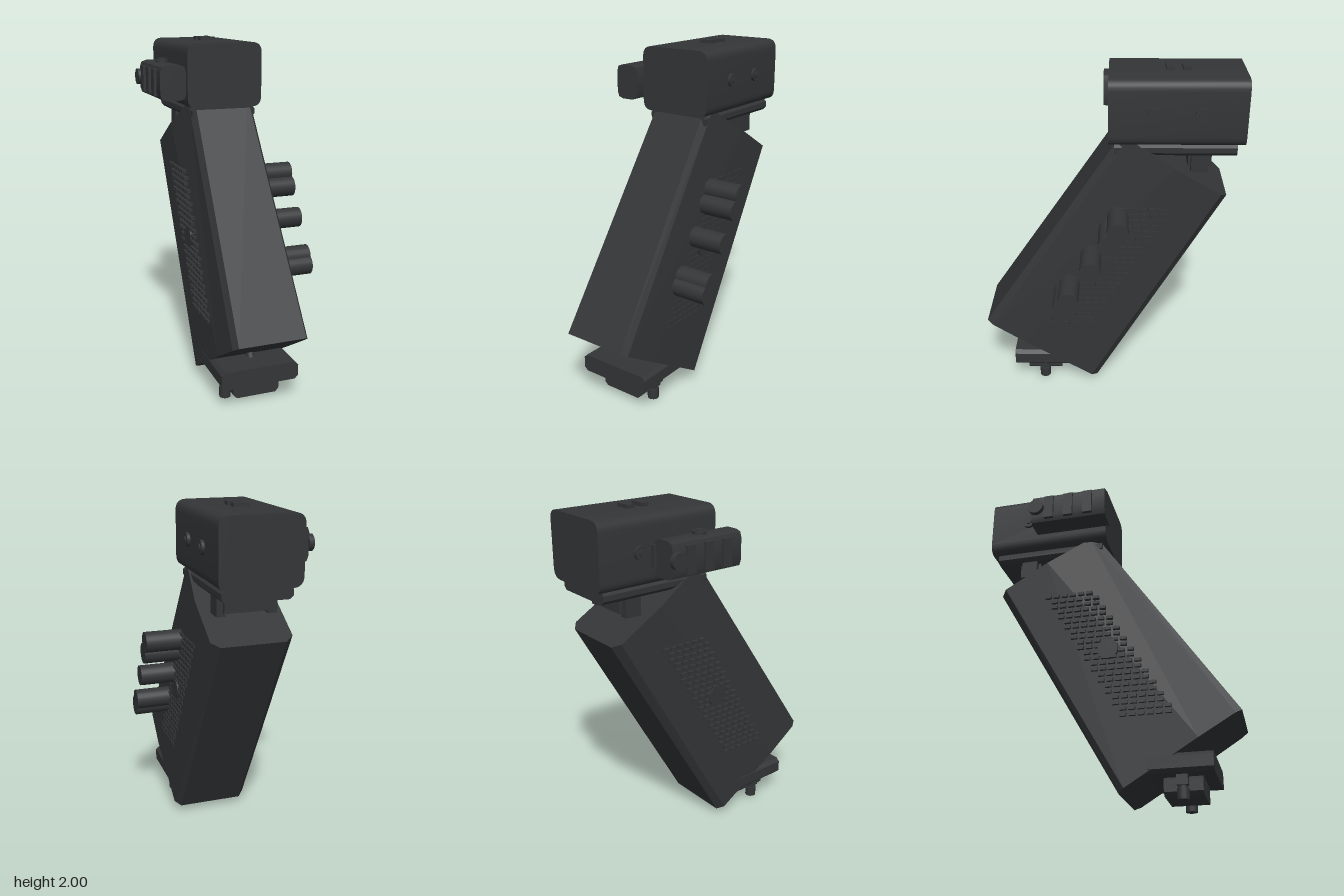
import * as THREE from 'three';
import { mergeGeometries, toCreasedNormals } from 'three/addons/utils/BufferGeometryUtils.js';

const CX = -0.008; // centre of the main housing in x

export function createModel() {
  const model = new THREE.Group();
  const dark = new THREE.MeshStandardMaterial({ color: 0x333537 });
  const faceted = new THREE.MeshStandardMaterial({ color: 0x333537, flatShading: true });

  const add = (name, geometry, material = dark) => {
    const mesh = new THREE.Mesh(geometry, material);
    mesh.name = name;
    model.add(mesh);
    return mesh;
  };
  // Box given by its limits
  const boxGeo = (x0, x1, y0, y1, z0, z1) =>
    new THREE.BoxGeometry(x1 - x0, y1 - y0, z1 - z0)
      .translate((x0 + x1) / 2, (y0 + y1) / 2, (z0 + z1) / 2);
  const box = (name, ...limits) => add(name, boxGeo(...limits));
  // Cylinder along x or y
  const rod = (name, axis, radius, length, x, y, z, sides = 24) => {
    const geo = new THREE.CylinderGeometry(radius, radius, length, sides);
    if (axis === 'x') geo.rotateZ(Math.PI / 2);
    return add(name, geo.translate(x, y, z));
  };
  // Rounded rectangle in xy, run along z; steps = 1 gives a chamfer
  const prism = (name, x0, x1, y0, y1, z0, z1, r, steps = 6) => {
    const s = new THREE.Shape();
    s.moveTo(x0 + r, y0);
    s.lineTo(x1 - r, y0);
    s.quadraticCurveTo(x1, y0, x1, y0 + r);
    s.lineTo(x1, y1 - r);
    s.quadraticCurveTo(x1, y1, x1 - r, y1);
    s.lineTo(x0 + r, y1);
    s.quadraticCurveTo(x0, y1, x0, y1 - r);
    s.lineTo(x0, y0 + r);
    s.quadraticCurveTo(x0, y0, x0 + r, y0);
    const geo = new THREE.ExtrudeGeometry(s, { depth: z1 - z0, bevelEnabled: false, curveSegments: steps });
    return add(name, toCreasedNormals(geo.translate(0, 0, z0), 0.5));
  };

  // Leaning body, lofted between a bottom and a top section
  // profile: [half width, fraction from front to back]
  const sections = [
    { front: [0.74, 0.45], back: [0.07, 0.04],
      profile: [[0.195, 0], [0.218, 0.05], [0.23, 0.35], [0.23, 0.95], [0.195, 1]] },
    { front: [-0.07, 1.66], back: [-0.66, 1.31],
      profile: [[0.165, 0], [0.192, 0.06], [0.226, 0.5], [0.226, 0.94], [0.18, 1]] },
  ];
  const positions = [];
  for (const { front, back, profile } of sections) {
    const ring = [...profile, ...profile.slice().reverse().map(([w, t]) => [-w, t])];
    for (const [x, t] of ring) {
      positions.push(CX + x, front[1] + (back[1] - front[1]) * t, front[0] + (back[0] - front[0]) * t);
    }
  }
  const n = 10;
  const index = [];
  for (let i = 0; i < n; i++) {
    const j = (i + 1) % n;
    index.push(i, j, j + n, i, j + n, i + n);
    if (i > 0 && i < n - 1) index.push(0, i + 1, i, n, n + i, n + i + 1);
  }
  const body = new THREE.BufferGeometry();
  body.setAttribute('position', new THREE.Float32BufferAttribute(positions, 3));
  body.setIndex(index);
  body.computeVertexNormals();
  add('body', body, faceted);

  // Raised grille pads on both sides, following the lean of the body
  for (const [name, x0, x1] of [['leftGrille', 0.2, 0.227], ['rightGrille', -0.253, -0.22]]) {
    const pads = [];
    for (let row = 0; row < 23; row++) {
      const y = 0.46 + row * 0.0352;
      const middle = 0.24 - (row / 22) * 0.45 + (row % 2 ? 0.01 : -0.01);
      for (let col = 0; col < 6; col++) {
        const z = middle + (col - 2.5) * 0.05;
        pads.push(boxGeo(x0, x1, y - 0.009, y + 0.009, z - 0.018, z + 0.018));
      }
    }
    add(name, mergeGeometries(pads));
  }
  rod('leftGrilleHub', 'x', 0.06, 0.04, 0.212, 0.86, 0.02);
  rod('rightGrilleHub', 'x', 0.06, 0.04, -0.234, 0.86, 0.02);

  // Protruding side cylinders
  const posts = [[1.19, -0.055], [1.11, -0.005], [0.94, 0.1], [0.74, 0.228], [0.69, 0.26]];
  for (const [y, z] of posts) rod('sidePost', 'x', 0.06, 0.235, 0.308, y, z);

  // Head with pads on top and screws on the sides
  prism('head', -0.235, 0.215, 1.61, 1.98, -0.74, 0, 0.06);
  for (const z of [-0.42, -0.33]) box('topPad', -0.055, 0.035, 1.97, 2.0, z - 0.022, z + 0.022);
  for (const side of [-1, 1]) {
    for (const z of [-0.245, -0.495]) {
      const face = side > 0 ? 0.215 : -0.235;
      rod('screwWasher', 'x', 0.038, 0.024, face + side * 0.005, 1.795, z);
      rod('screwHead', 'x', 0.02, 0.03, face + side * 0.01, 1.795, z, 6);
    }
  }

  // Mounting plate and clamp below the head
  prism('headPlate', -0.2, 0.185, 1.545, 1.615, -0.7, -0.03, 0.02, 1);
  box('headClamp', -0.14, 0.125, 1.46, 1.55, -0.57, -0.44);
  for (const x of [-0.15, 0.135]) {
    box('headClampJaw', x - 0.025, x + 0.025, 1.44, 1.55, -0.55, -0.455);
  }

  // Side unit carried on the right of the head
  prism('sideUnit', -0.405, -0.255, 1.665, 1.865, -0.42, 0.035, 0.04, 2);
  rod('sideUnitMount', 'x', 0.04, 0.05, -0.245, 1.8, -0.245);
  for (const z of [-0.31, -0.19, -0.07]) {
    box('sideUnitRib', -0.42, -0.39, 1.69, 1.84, z - 0.028, z + 0.028);
  }
  rod('sideUnitKnob', 'x', 0.047, 0.03, -0.417, 1.77, -0.39);
  box('sideUnitClamp', -0.27, -0.245, 1.71, 1.83, -0.435, -0.35);
  rod('sideUnitButton', 'y', 0.038, 0.03, -0.33, 1.868, -0.19);
  rod('sideUnitButtonCap', 'y', 0.02, 0.03, -0.33, 1.875, -0.19);

  // Foot plate, clamp block and pegs
  prism('footPlate', -0.24, 0.22, 0.13, 0.235, 0.23, 0.58, 0.02, 1);
  prism('footClamp', -0.145, 0.13, 0.03, 0.135, 0.3, 0.51, 0.02, 1);
  for (const x of [-0.16, 0.14]) {
    rod('footPeg', 'y', 0.033, 0.06, x, 0.03, 0.405, 16);
    rod('footPegStem', 'y', 0.024, 0.09, x, 0.095, 0.405, 16);
    box('footPegJaw', x - 0.03, x + 0.03, 0.075, 0.135, 0.375, 0.435);
  }
  const stud = rod('footStud', 'y', 0.025, 0.16, 0, 0, 0, 16);
  stud.position.set(-0.01, 0.2, 0.44);
  stud.rotation.x = -0.5;

  return model;
}
